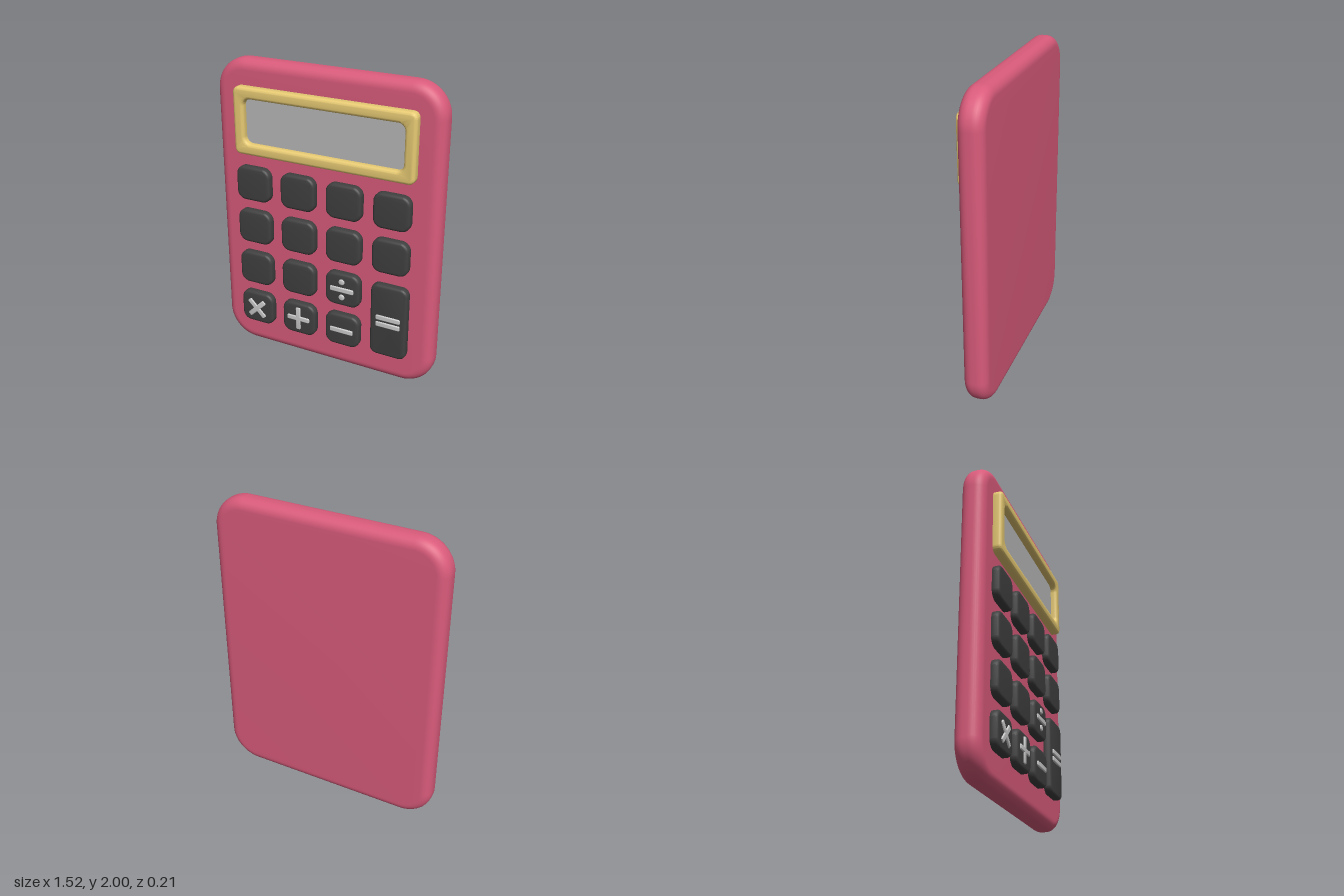
import * as THREE from 'three';
import { toCreasedNormals } from 'three/addons/utils/BufferGeometryUtils.js';

const mat = (color) => new THREE.MeshStandardMaterial({ color });

// Trace a rounded rectangle, counter-clockwise, on a Shape or Path
function roundedRect(target, cx, cy, w, h, r) {
  const x = w / 2 - r, y = h / 2 - r, q = Math.PI / 2;
  [[x, y], [-x, y], [-x, -y], [x, -y]].forEach(([px, py], i) =>
    target.absarc(cx + px, cy + py, r, i * q, (i + 1) * q, false));
  target.closePath();
  return target;
}

// Rounded slab between z0 and z1 with softened edges; w and h are outer sizes
function slab(name, material, cx, cy, w, h, r, z0, z1, bevel, hole, segments = 5) {
  const shape = roundedRect(new THREE.Shape(), 0, 0, w - 2 * bevel, h - 2 * bevel, Math.max(r - bevel, 0.002));
  if (hole) {
    shape.holes.push(roundedRect(new THREE.Path(), 0, 0, hole.w + 2 * bevel, hole.h + 2 * bevel, hole.r + bevel));
  }
  const geometry = new THREE.ExtrudeGeometry(shape, {
    depth: z1 - z0 - 2 * bevel, bevelEnabled: true, bevelSize: bevel,
    bevelThickness: bevel, bevelSegments: segments, curveSegments: 10,
  });
  const mesh = new THREE.Mesh(toCreasedNormals(geometry, 0.6), material);
  mesh.position.set(cx, cy, z0 + bevel);
  mesh.name = name;
  return mesh;
}

export function createModel() {
  const model = new THREE.Group();
  model.name = 'calculator';
  const pink = mat(0xd95b7b), gold = mat(0xe8cb74), dark = mat(0x404040);
  const grey = mat(0xcccccc), glass = mat(0xb8b8b8);

  // Case
  model.add(slab('case', pink, 0, 1, 1.516, 2, 0.21, -0.107, 0.05, 0.065, null, 8));

  // Display frame with its recessed screen
  const cx = 0.003, cy = 1.622;
  model.add(slab('displayFrame', gold, cx, cy, 1.212, 0.436, 0.04, 0.03, 0.105, 0.02,
    { w: 1.07, h: 0.29, r: 0.045 }));
  const screen = new THREE.Mesh(new THREE.BoxGeometry(1.1, 0.32, 0.03), glass);
  screen.name = 'screen';
  screen.position.set(cx, cy, 0.047);
  model.add(screen);

  // Keys: a four by four grid, the last column ending in one tall key
  const columns = [-0.485, -0.166, 0.152, 0.47];
  const rows = [1.206, 0.905, 0.601, 0.3];
  const keys = new THREE.Group();
  keys.name = 'keys';
  rows.forEach((y, row) => columns.forEach((x, col) => {
    if (col === 3 && row > 1) return;
    keys.add(slab('key', dark, x, y, 0.242, 0.23, 0.06, 0.035, 0.098, 0.02));
  }));
  keys.add(slab('tallKey', dark, 0.474, 0.45, 0.248, 0.51, 0.05, 0.035, 0.098, 0.02));
  model.add(keys);

  // Raised bars and dots on the operation keys
  const marks = new THREE.Group();
  marks.name = 'operationMarks';
  const bar = (x, y, angle = 0, length = 0.165) => {
    const mesh = slab('markBar', grey, x, y, length, 0.034, 0.008, 0.085, 0.107, 0.007, null, 3);
    mesh.rotation.z = angle;
    marks.add(mesh);
  };
  // divide
  bar(0.152, 0.604);
  for (const y of [0.55, 0.661]) {
    marks.add(slab('markDot', grey, 0.152, y, 0.04, 0.04, 0.02, 0.085, 0.107, 0.007, null, 3));
  }
  // multiply, add, subtract
  bar(-0.487, 0.296, Math.PI / 4);
  bar(-0.487, 0.296, -Math.PI / 4);
  bar(-0.167, 0.304);
  bar(-0.167, 0.304, Math.PI / 2);
  bar(0.152, 0.3);
  // equals
  bar(0.475, 0.476);
  bar(0.475, 0.428);
  model.add(marks);

  return model;
}
